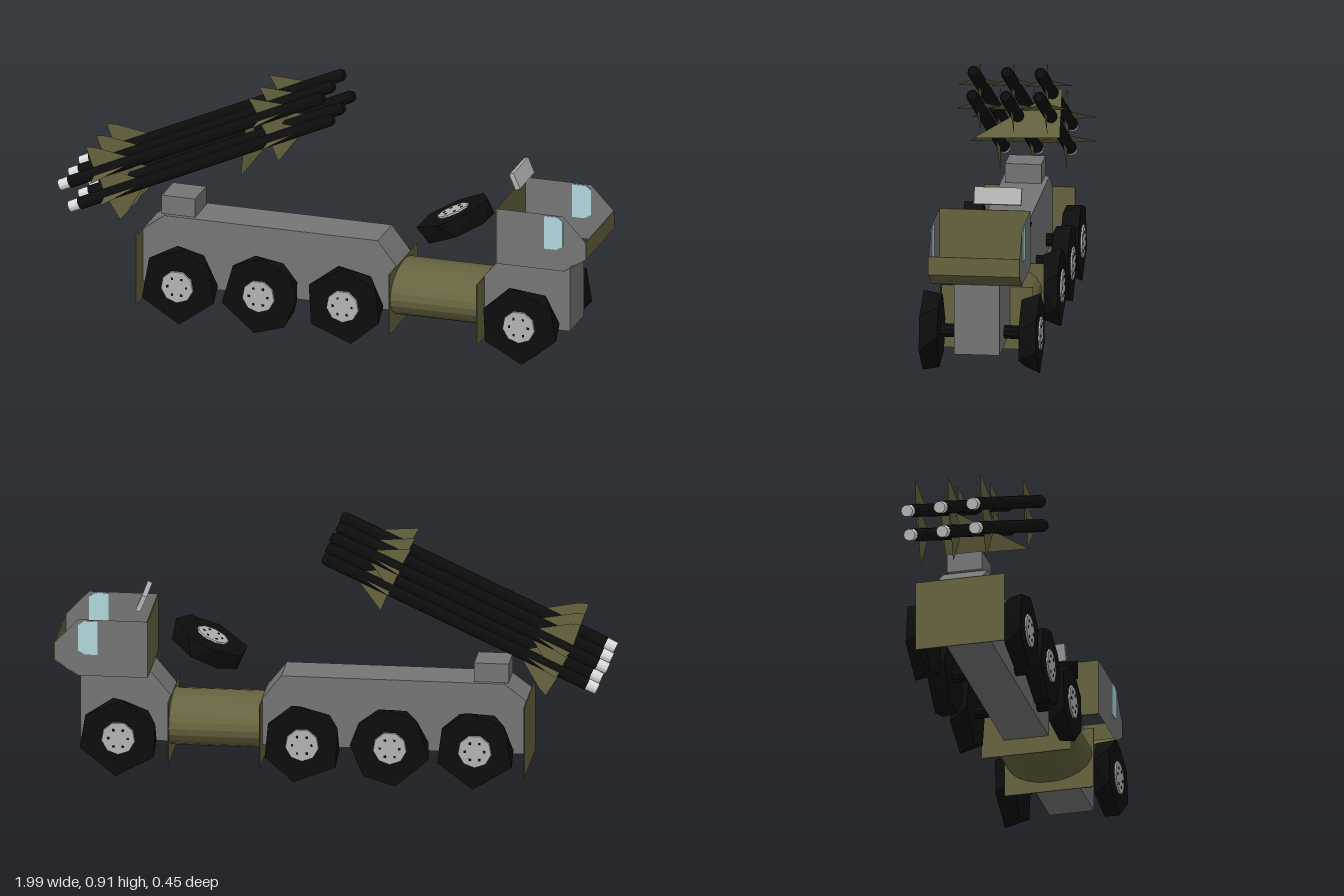
import * as THREE from 'three';
import { ConvexGeometry } from 'three/addons/geometries/ConvexGeometry.js';

const mat = (name, color, extra = {}) => {
  const m = new THREE.MeshStandardMaterial({ color, flatShading: true, ...extra });
  m.name = name;
  return m;
};

export function createModel() {
  const both = { side: THREE.DoubleSide };
  const grey = mat('bodyGrey', 0x757575, both);
  const olive = mat('olive', 0x66633f, both);
  const black = mat('rubberBlack', 0x0d0d0d);
  const hubGrey = mat('hubGrey', 0xb4b4b4);
  const white = mat('tailWhite', 0xdcdcdc);
  const glass = mat('glass', 0xb0d8de, both);

  const model = new THREE.Group();
  model.name = 'missileTruck';
  const add = (name, geo, material, pos = [0, 0, 0], parent = model) => {
    const m = new THREE.Mesh(geo, material);
    m.name = name;
    m.position.set(...pos);
    parent.add(m);
    return m;
  };
  const shape = (pts) => new THREE.Shape(pts.map(([x, y]) => new THREE.Vector2(x, y)));
  const slab = (pts, w) =>
    new THREE.ExtrudeGeometry(shape(pts), { depth: w, bevelEnabled: false }).translate(0, 0, -w / 2);
  const box = (x, y, z) => new THREE.BoxGeometry(x, y, z);

  // Hull sections, side profile extruded across the truck
  add('rearHull', slab([[-0.69, 0.1], [0.26, 0.1], [0.26, 0.27], [0.19, 0.36], [-0.61, 0.36], [-0.69, 0.3]], 0.164), grey);
  add('frontHull', slab([[0.585, 0.1], [0.91, 0.1], [0.91, 0.36], [0.66, 0.36], [0.585, 0.27]], 0.164), grey);
  add('rearBox', box(0.125, 0.07, 0.13), grey, [-0.5625, 0.395, 0]);
  add('rearPlate', box(0.004, 0.262, 0.328), olive, [-0.691, 0.169, 0]);

  // Oval tank between two end plates
  const tank = new THREE.CylinderGeometry(1, 1, 0.325, 24).rotateZ(Math.PI / 2).scale(1, 0.095, 0.158);
  add('tank', tank, olive, [0.4225, 0.17, 0]);
  for (const x of [0.259, 0.587]) add('tankEndPlate', box(0.004, 0.23, 0.328), olive, [x, 0.154, 0]);

  // Open cab: two sides, back wall, lower nose panels
  const side = [[0.66, 0.36], [0.91, 0.36], [0.995, 0.415], [0.995, 0.48], [0.91, 0.57], [0.66, 0.57]];
  const pane = [[0.84, 0.44], [0.885, 0.44], [0.91, 0.455], [0.91, 0.55], [0.89, 0.565], [0.84, 0.565]];
  for (const s of [1, -1]) {
    add('cabSide', new THREE.ShapeGeometry(shape(side)), grey, [0, 0, s * 0.163]);
    add('sideWindow', slab(pane, 0.006), glass, [0, 0, s * 0.163]);
  }
  add('cabBack', box(0.004, 0.21, 0.326), olive, [0.662, 0.465, 0]);
  add('nosePanel', box(0.004, 0.065, 0.328), olive, [0.995, 0.4475, 0]);
  add('noseUnderside', box(0.101, 0.004, 0.328), olive, [0.9525, 0.3875, 0]).rotation.z = Math.atan2(0.055, 0.085);
  add('roofPanel', box(0.018, 0.062, 0.17), hubGrey, [0.687, 0.628, -0.05]).rotation.z = 0.4;

  // Rough many-sided wheels; outer face towards local +z
  const ring = (angles, r, z, shift) => angles.map((a) => {
    const t = THREE.MathUtils.degToRad(a + shift);
    return new THREE.Vector3(r * Math.cos(t), r * Math.sin(t), z);
  });
  const wheel = (name, angles) => {
    const g = new THREE.Group();
    g.name = name;
    add('tyre', new ConvexGeometry([...ring(angles, 0.144, 0.032, 0), ...ring(angles, 0.132, -0.032, 18)]), black, [0, 0, 0], g);
    add('hub', new THREE.CylinderGeometry(0.06, 0.062, 0.008, 9).rotateX(Math.PI / 2), hubGrey, [0, 0, 0.034], g);
    for (let i = 0; i < 6; i++) {
      const t = (i * Math.PI) / 3;
      add('bolt', box(0.008, 0.008, 0.004), black, [0.035 * Math.cos(t), 0.035 * Math.sin(t), 0.038], g);
    }
    model.add(g);
    return g;
  };
  const axles = [
    [-0.52, [137, 80, 35, -20, -87, -157]],
    [-0.215, [132, 86, 39, 2, -49, -97, -164]],
    [0.1, [152, 88, 32, -21, -78, -146]],
    [0.76, [157, 97, 35, -16, -86, -152]],
  ];
  for (const [x, angles] of axles) {
    add('axle', new THREE.CylinderGeometry(0.025, 0.025, 0.3, 10).rotateX(Math.PI / 2), black, [x, 0.148, 0]);
    wheel('leftWheel', angles).position.set(x, 0.146, 0.178);
    const far = wheel('rightWheel', angles.map((a) => 180 - a));
    far.position.set(x, 0.146, -0.178);
    far.rotation.y = Math.PI;
  }
  const spare = wheel('spareWheel', [150, 100, 55, 0, -45, -95, -155]);
  spare.position.set(0.46, 0.445, 0);
  spare.rotation.set(-Math.PI / 2, 0.43, 0, 'ZYX');
  spare.rotation.set(-Math.PI / 2, 0, 0.43, 'ZYX');

  // Two rows of three raised missiles, each with two crosses of swept fins
  const finShapes = [
    [[0.14, 0.018], [0.288, 0.018], [0.185, 0.09], [0.15, 0.105]],
    [[0.815, 0.018], [0.935, 0.018], [0.85, 0.065], [0.812, 0.085]],
  ].map((p) => new THREE.ShapeGeometry(shape(p)));
  const missile = (x, y, z) => {
    const g = new THREE.Group();
    g.name = 'missile';
    const tube = (r0, r1, a, b) =>
      new THREE.CylinderGeometry(r1, r0, b - a, 12).rotateZ(-Math.PI / 2).translate((a + b) / 2, 0, 0);
    add('missileBody', tube(0.023, 0.023, 0.035, 1.065), black, [0, 0, 0], g);
    add('missileNose', tube(0.023, 0.016, 1.065, 1.08), black, [0, 0, 0], g);
    add('missileTail', tube(0.021, 0.022, -0.005, 0.035), white, [0, 0, 0], g);
    for (const fin of finShapes) {
      for (let i = 0; i < 4; i++) add('fin', fin, olive, [0, 0, 0], g).rotation.x = (i * Math.PI) / 2 + 0.06;
    }
    g.position.set(x, y, z);
    g.rotation.z = 0.432;
    model.add(g);
  };
  for (const z of [-0.12, 0, 0.12]) {
    missile(-0.982, 0.448, z);
    missile(-0.945, 0.37, z);
  }

  // Triangular brace across the missile rows
  const brace = new THREE.BufferGeometry().setFromPoints([
    new THREE.Vector3(-0.3, 0.575, 0.155),
    new THREE.Vector3(-0.295, 0.585, -0.155),
    new THREE.Vector3(-0.372, 0.75, -0.155),
  ]);
  brace.computeVertexNormals();
  add('brace', brace, olive);
  return model;
}
